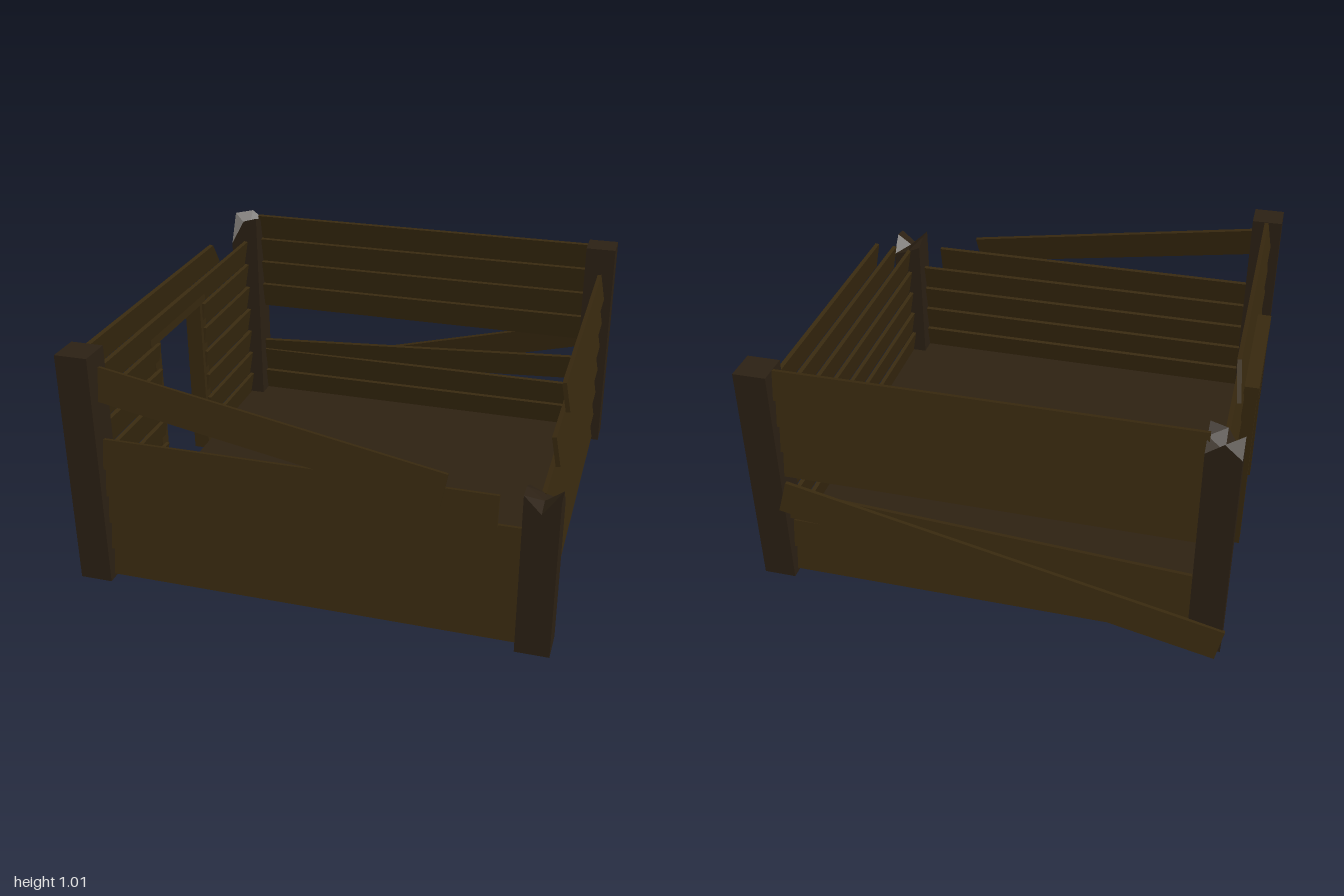
import * as THREE from 'three';

const material = (color) => new THREE.MeshStandardMaterial({ color, flatShading: true });

const ROW = 0.1235, BASE = 0.03, TILT = 0.18;

export function createModel() {
  const model = new THREE.Group();
  const plankMat = material(0x38290f);
  const postMat = material(0x2c2114);
  const floorMat = material(0x2e2212);

  function box(parent, name, mat, x0, x1, y0, y1, z0, z1) {
    const mesh = new THREE.Mesh(new THREE.BoxGeometry(x1 - x0, y1 - y0, z1 - z0), mat);
    mesh.position.set((x0 + x1) / 2, (y0 + y1) / 2, (z0 + z1) / 2);
    mesh.name = name;
    parent.add(mesh);
    return mesh;
  }

  // Board from a to b, its lower edge tipped towards the outside
  // slant shifts the top and bottom corners of the starting end apart
  function board(parent, name, a, b, out, height, slant = 0) {
    const dir = new THREE.Vector3().subVectors(b, a);
    const length = dir.length();
    const geo = new THREE.BoxGeometry(length, height, 0.018);
    const p = geo.attributes.position;
    for (let i = 0; i < p.count; i++) {
      if (p.getX(i) < 0) p.setX(i, p.getX(i) + Math.sign(p.getY(i)) * slant);
    }
    geo.computeVertexNormals();
    dir.normalize();
    const up = new THREE.Vector3().crossVectors(out, dir).normalize();
    const face = new THREE.Vector3().crossVectors(dir, up);
    const mesh = new THREE.Mesh(geo, plankMat);
    mesh.quaternion.setFromRotationMatrix(new THREE.Matrix4().makeBasis(dir, up, face));
    mesh.rotateX(-TILT);
    mesh.position.addVectors(a, b).multiplyScalar(0.5);
    mesh.name = name;
    parent.add(mesh);
  }

  // Wall of overlapping boards; each entry is [row, start, end, slant, startDrop, endDrop]
  function wall(name, angle, distance, rows) {
    const group = new THREE.Group();
    group.name = name;
    group.rotation.y = angle;
    const out = new THREE.Vector3(0, 0, 1);
    for (const [row, start, end, slant = 0, drop0 = 0, drop1 = 0] of rows) {
      const y = BASE + (row + 0.5) * ROW;
      board(group, 'wallPlank',
        new THREE.Vector3(start, y - drop0, distance),
        new THREE.Vector3(end, y - drop1, distance), out, ROW + 0.002, slant);
    }
    model.add(group);
  }
  const full = (rows, start, end) => rows.map((r) => [r, start, end]);

  // Front wall, broken down to five rows
  wall('frontWall', 0, 0.945, [
    ...full([0, 1, 2, 3], -0.84, 0.86),
    [4, -0.84, 0.75],
  ]);

  // Back wall with one row missing and a sagging board under the gap
  wall('backWall', Math.PI, 0.875, [
    ...full([0, 1, 4, 5, 6, 7], -0.84, 0.845),
    [2, -0.84, 0.845, 0, -0.03, 0.07],
  ]);

  // Left wall with stepped broken rows
  wall('leftWall', Math.PI / 2, 0.912, [
    ...full([0, 1, 2, 3, 4], -0.875, 0.805),
    [5, -0.67, 0.805],
    [6, -0.45, 0.805],
  ]);

  // Right wall with the doorway
  wall('rightWall', -Math.PI / 2, 0.905, [
    ...full([0, 1, 2, 3, 4, 5], -0.805, -0.22),
    ...full([0, 1, 2, 3, 4, 5], 0.265, 0.875),
    [6, -0.805, 0.875],
    [7, -0.42, 0.875, 0.06],
  ]);

  // Loose boards hanging from the front and the back
  board(model, 'hangingFrontPlank', new THREE.Vector3(-0.86, 0.888, 0.925),
    new THREE.Vector3(0.55, 0.65, 0.965), new THREE.Vector3(0, 0, 1), 0.137);
  board(model, 'fallenBackPlank', new THREE.Vector3(0.8, 0.5, -0.982),
    new THREE.Vector3(-0.965, 0.07, -0.947), new THREE.Vector3(0, 0, -1), 0.13);

  // Floor
  box(model, 'floor', floorMat, -0.9, 0.91, 0.025, 0.045, -0.88, 0.945);

  // Door frame
  const frame = new THREE.Group();
  frame.name = 'doorFrame';
  box(frame, 'doorPost', plankMat, -0.975, -0.9, 0.005, 0.775, -0.255, -0.195);
  box(frame, 'doorPost', plankMat, -0.975, -0.9, 0.005, 0.775, 0.242, 0.302);
  box(frame, 'doorLintel', plankMat, -0.98, -0.9, 0.77, 0.83, -0.26, 0.33);
  model.add(frame);

  // Corner posts; tops lists how far each point of a 3 x 3 grid drops,
  // rows running from back to front, each from -x to +x
  function post(name, x, z, top, tops) {
    const size = 0.135, bottom = 0.015, h = top - bottom;
    const n = tops ? 2 : 1;
    const geo = new THREE.BoxGeometry(size, h, size, n, 1, n);
    if (tops) {
      const p = geo.attributes.position;
      for (let i = 0; i < p.count; i++) {
        if (p.getY(i) < 0) continue;
        const col = Math.round(p.getX(i) / (size / 2)) + 1;
        const row = Math.round(p.getZ(i) / (size / 2)) + 1;
        p.setY(i, p.getY(i) - tops[row * 3 + col]);
      }
      geo.computeVertexNormals();
    }
    const mesh = new THREE.Mesh(geo, postMat);
    mesh.position.set(x, bottom + h / 2, z);
    mesh.name = name;
    model.add(mesh);
  }
  post('frontRightPost', -0.897, 0.932, 1.02);
  post('backLeftPost', 0.897, -0.863, 1.02);
  post('frontLeftPost', 0.912, 0.932, 0.7, [
    0.03, 0.06, 0.08,
    0, 0.05, 0,
    0, 0.07, 0.01,
  ]);
  post('backRightPost', -0.902, -0.863, 1.02, [
    0.06, 0, 0.05,
    0, 0.08, 0.02,
    0.14, 0.02, 0,
  ]);

  return model;
}
